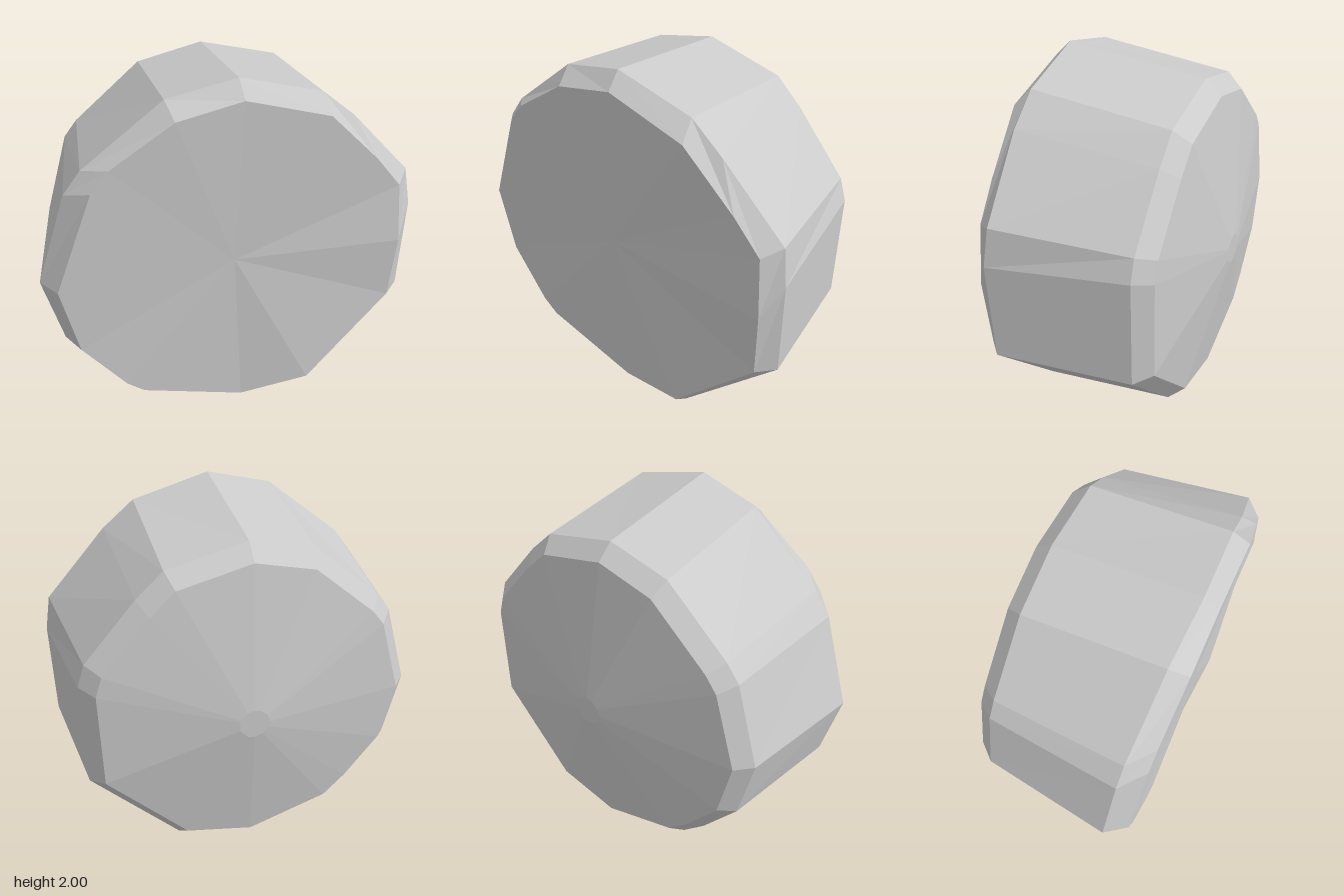
import * as THREE from 'three';

// Cross-sections from front to back, each point x, y, z, clockwise seen from the front
const frontEdge = [
  [0.03, 1.92, 0.5], [0.45, 1.8, 0.5], [0.72, 1.53, 0.48], [0.86, 1.36, 0.47], [0.89, 1.03, 0.49],
  [0.88, 0.66, 0.47], [0.43, 0.175, 0.51], [0.05, 0.1, 0.48], [-0.5, 0.27, 0.5], [-0.59, 0.34, 0.5],
  [-0.81, 0.62, 0.49], [-0.89, 1.0, 0.49], [-0.69, 1.53, 0.49], [-0.6, 1.64, 0.49], [-0.29, 1.85, 0.5],
];
const rim = [
  [0.02, 2.0, 0.42], [0.43, 1.89, 0.41], [0.6, 1.75, 0.41], [0.93, 1.4, 0.38], [0.965, 1.2, 0.4],
  [0.965, 0.67, 0.39], [0.43, 0.1, 0.42], [0.02, 0.005, 0.37], [-0.52, 0.2, 0.4], [-0.66, 0.34, 0.39],
  [-0.88, 0.63, 0.38], [-0.97, 1.0, 0.38], [-0.81, 1.48, 0.38], [-0.72, 1.6, 0.38], [-0.32, 1.92, 0.4],
];
const backOutline = [
  [0.01, 1.91], [0.42, 1.81], [0.56, 1.68], [0.83, 1.37], [0.87, 1.25],
  [0.87, 0.66], [0.41, 0.17], [0.01, 0.09], [-0.47, 0.25], [-0.6, 0.38],
  [-0.8, 0.64], [-0.88, 1.0], [-0.75, 1.44], [-0.68, 1.53], [-0.33, 1.83],
];

// Copy of the back outline, shrunk about a centre and set at depth z
const backRing = (scale, z, cx = 0) =>
  backOutline.map(([x, y]) => [cx + x * scale, 1 + (y - 1) * scale, z]);

function loft(rings) {
  const pos = [];
  const tri = (...points) => points.forEach((p) => pos.push(...p));
  const centre = (ring) => [0, 1, 2].map((k) => ring.reduce((s, p) => s + p[k], 0) / ring.length);
  const n = rings[0].length;
  const first = rings[0], last = rings[rings.length - 1];
  const front = centre(first), back = centre(last);
  for (let i = 0; i < n; i++) {
    const j = (i + 1) % n;
    for (let r = 0; r < rings.length - 1; r++) {
      const a = rings[r], b = rings[r + 1];
      tri(a[i], a[j], b[i]);
      tri(a[j], b[j], b[i]);
    }
    tri(front, first[j], first[i]);
    tri(back, last[i], last[j]);
  }
  const geometry = new THREE.BufferGeometry();
  geometry.setAttribute('position', new THREE.Float32BufferAttribute(pos, 3));
  geometry.computeVertexNormals();
  return geometry;
}

export function createModel() {
  const group = new THREE.Group();
  group.name = 'stone';
  const material = new THREE.MeshStandardMaterial({ color: 0xcccccc, flatShading: true });

  // Flat front, bevelled rim, tapering side, bevelled back and a shallow back peak
  const stone = new THREE.Mesh(
    loft([frontEdge, rim, backRing(1, -0.315), backRing(0.915, -0.4), backRing(0.09, -0.515, 0.03)]),
    material
  );
  stone.name = 'stoneBody';
  group.add(stone);
  return group;
}
